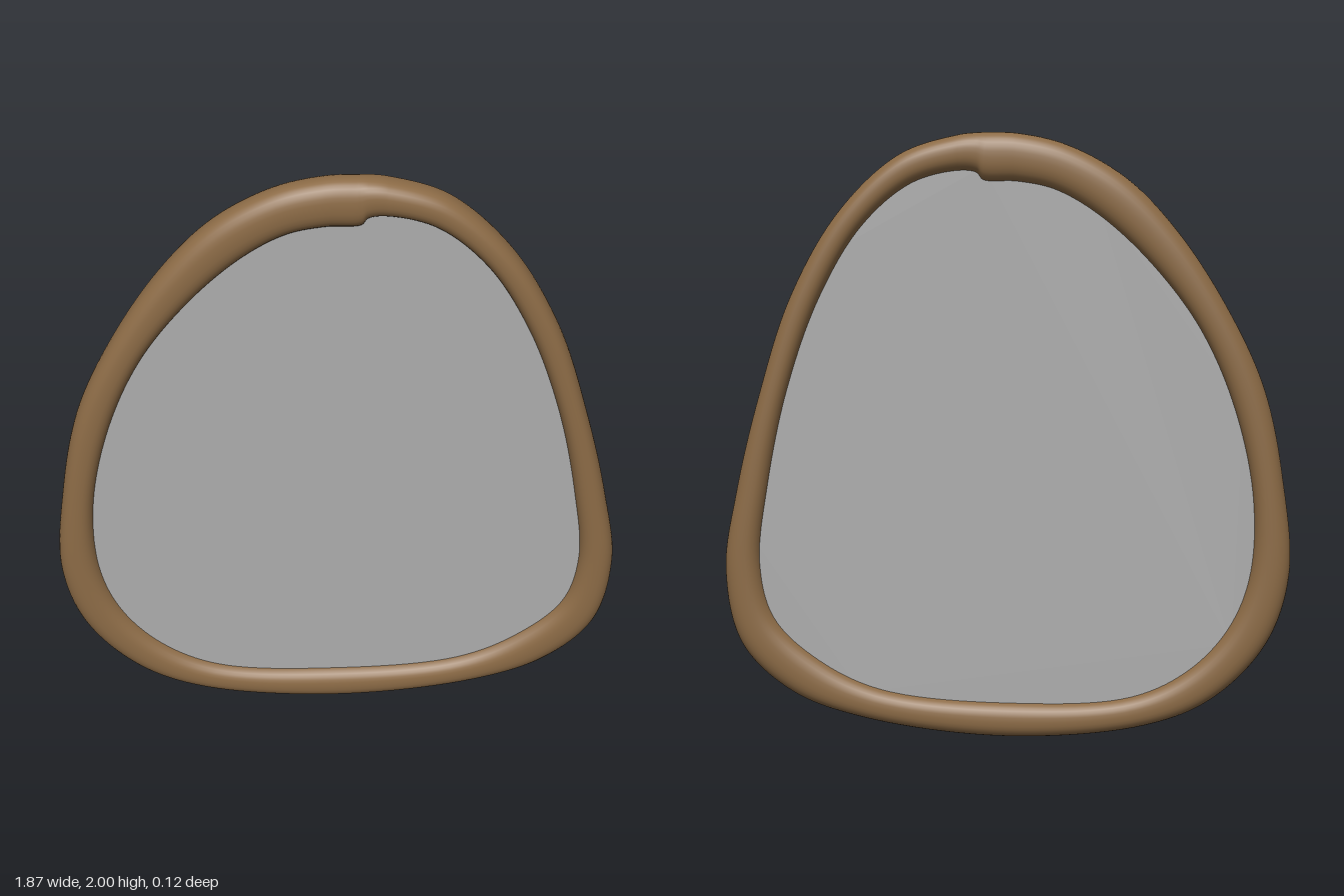
import * as THREE from 'three';

// Counter-clockwise from the bottom: outer x, outer y, inner x, inner y
const RIM = [
  [0.0, 0.0, -0.03, 0.12], [0.48, 0.06, 0.41, 0.16], [0.72, 0.15, 0.62, 0.26],
  [0.88, 0.31, 0.765, 0.40], [0.93, 0.56, 0.81, 0.58], [0.89, 0.82, 0.78, 0.85],
  [0.81, 1.14, 0.71, 1.17], [0.70, 1.47, 0.60, 1.47], [0.54, 1.745, 0.46, 1.70],
  [0.34, 1.93, 0.30, 1.835], [0.15, 1.992, 0.15, 1.875], [0.09, 1.999, 0.09, 1.868],
  [0.06, 2.0, 0.07, 1.845], [-0.04, 1.997, -0.04, 1.84], [-0.2, 1.96, -0.16, 1.815],
  [-0.39, 1.855, -0.30, 1.735], [-0.56, 1.68, -0.47, 1.58], [-0.73, 1.42, -0.63, 1.37],
  [-0.845, 1.17, -0.745, 1.11], [-0.91, 0.87, -0.81, 0.81], [-0.935, 0.56, -0.80, 0.55],
  [-0.865, 0.33, -0.73, 0.375], [-0.69, 0.14, -0.60, 0.235], [-0.47, 0.045, -0.415, 0.145],
];
const HALF_DEPTH = 0.061;

const closedCurve = (ix, iy) => new THREE.CatmullRomCurve3(
  RIM.map((p) => new THREE.Vector3(p[ix], p[iy], 0)), true, 'centripetal');

// Sweep a slightly squared oval between the outer and inner outlines
function frameGeometry(outer, inner, steps, sides) {
  const pos = [], index = [];
  const soft = (v) => Math.sign(v) * Math.abs(v) ** 0.85;
  for (let i = 0; i < steps; i++) {
    const o = outer.getPoint(i / steps), n = inner.getPoint(i / steps);
    for (let j = 0; j < sides; j++) {
      const a = (j / sides) * Math.PI * 2;
      const p = n.clone().lerp(o, 0.5 + 0.5 * soft(Math.cos(a)));
      pos.push(p.x, p.y, HALF_DEPTH * soft(Math.sin(a)));
      const i2 = (i + 1) % steps, j2 = (j + 1) % sides;
      const A = i * sides + j, B = i2 * sides + j, C = i2 * sides + j2, D = i * sides + j2;
      index.push(A, B, C, A, C, D);
    }
  }
  const geo = new THREE.BufferGeometry();
  geo.setAttribute('position', new THREE.Float32BufferAttribute(pos, 3));
  geo.setIndex(index);
  geo.computeVertexNormals();
  return geo;
}

export function createModel() {
  const wood = new THREE.MeshStandardMaterial({ color: 0x8c6b46 });
  wood.name = 'brown wood';
  const glass = new THREE.MeshStandardMaterial({ color: 0xacacac });
  glass.name = 'mirror grey';

  const outer = closedCurve(0, 1), inner = closedCurve(2, 3);
  const group = new THREE.Group();
  group.name = 'wallMirror';

  // Rounded wooden rim
  const frame = new THREE.Mesh(frameGeometry(outer, inner, 240, 32), wood);
  frame.name = 'frame';

  // Flat pane, its edge buried in the middle of the rim
  const edge = [];
  for (let i = 0; i < 120; i++) {
    const p = inner.getPoint(i / 120).lerp(outer.getPoint(i / 120), 0.3);
    edge.push(new THREE.Vector2(p.x, p.y));
  }
  const paneGeo = new THREE.ExtrudeGeometry(new THREE.Shape(edge), { depth: 0.05, bevelEnabled: false });
  paneGeo.translate(0, 0, -0.025);
  const pane = new THREE.Mesh(paneGeo, glass);
  pane.name = 'mirrorPane';

  group.add(frame, pane);
  return group;
}
